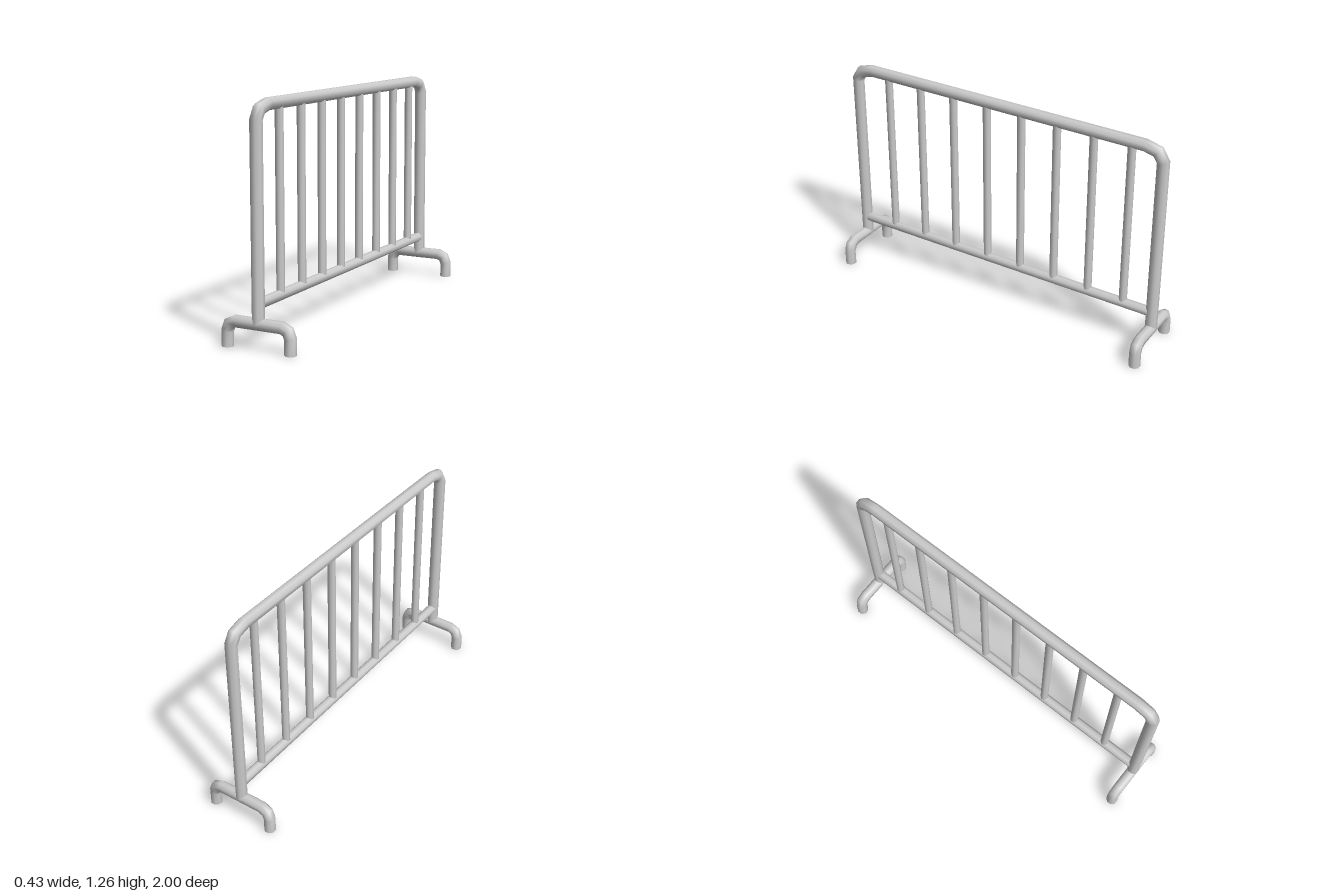
import * as THREE from 'three';

const SIDES = 8;
const material = new THREE.MeshStandardMaterial({ color: 0xcccccc });

// Eight-sided pipe with mitred joints along a path lying in a plane with the given normal
function pipe(name, path, radius, normal) {
  const r = radius / Math.cos(Math.PI / SIDES); // radius is measured to the flats
  const pos = [], index = [];
  const dir = (i) => path[i + 1].clone().sub(path[i]).normalize();
  const rings = path.map((p, i) => {
    const a = dir(Math.max(i - 1, 0)), b = dir(Math.min(i, path.length - 2));
    const tangent = a.clone().add(b).normalize();
    const across = new THREE.Vector3().crossVectors(tangent, normal).multiplyScalar(r / tangent.dot(a));
    return Array.from({ length: SIDES }, (_, k) => {
      const t = ((k + 0.5) / SIDES) * Math.PI * 2;
      return p.clone().addScaledVector(across, Math.cos(t)).addScaledVector(normal, -r * Math.sin(t));
    });
  });
  rings.forEach((ring) => ring.forEach((v) => pos.push(v.x, v.y, v.z)));
  for (let i = 0; i < path.length - 1; i++) {
    for (let k = 0; k < SIDES; k++) {
      const a = i * SIDES + k, b = i * SIDES + ((k + 1) % SIDES);
      index.push(a, b, b + SIDES, a, b + SIDES, a + SIDES);
    }
  }
  // End caps have their own corners so that their rims stay sharp
  [rings[0], rings[rings.length - 1]].forEach((ring, end) => {
    const base = pos.length / 3;
    ring.forEach((v) => pos.push(v.x, v.y, v.z));
    for (let k = 1; k < SIDES - 1; k++) {
      if (end) index.push(base, base + k, base + k + 1);
      else index.push(base, base + k + 1, base + k);
    }
  });
  const geometry = new THREE.BufferGeometry();
  geometry.setAttribute('position', new THREE.Float32BufferAttribute(pos, 3));
  geometry.setIndex(index);
  geometry.computeVertexNormals();
  const mesh = new THREE.Mesh(geometry, material);
  mesh.name = name;
  return mesh;
}

// Mirror half of an arch, given as [offset, height] pairs, into a full path
function arch(half, toPoint) {
  const other = half.map(([s, y]) => [-s, y]).reverse();
  return [...half, ...other].map(([s, y]) => toPoint(s, y));
}

export function createModel() {
  const model = new THREE.Group();
  model.name = 'crowdBarrier';
  const xAxis = new THREE.Vector3(1, 0, 0), zAxis = new THREE.Vector3(0, 0, 1);
  const side = (z, y) => new THREE.Vector3(0, y, z);
  const endZ = 0.969;

  // Outer frame: two posts joined by a top rail with rounded corners
  const frame = [[endZ, 0.137], [endZ, 1.163], [0.938, 1.213], [0.864, 1.232]];
  model.add(pipe('outerFrame', arch(frame, side), 0.031, xAxis));

  // Lower rail
  model.add(pipe('lowerRail', [side(endZ, 0.24), side(-endZ, 0.24)], 0.026, xAxis));

  // Upright bars
  for (let i = 0; i < 8; i++) {
    const z = 0.75 - i * 0.22;
    model.add(pipe('uprightBar' + (i + 1), [side(z, 0.24), side(z, 1.23)], 0.021, xAxis));
  }

  // Arched feet under each post
  const foot = [[0.185, 0], [0.185, 0.083], [0.171, 0.12], [0.136, 0.136]];
  for (const [name, z] of [['frontFoot', endZ], ['backFoot', -endZ]]) {
    const path = arch(foot, (x, y) => new THREE.Vector3(x, y, z));
    model.add(pipe(name, path, 0.03, zAxis));
  }
  return model;
}
